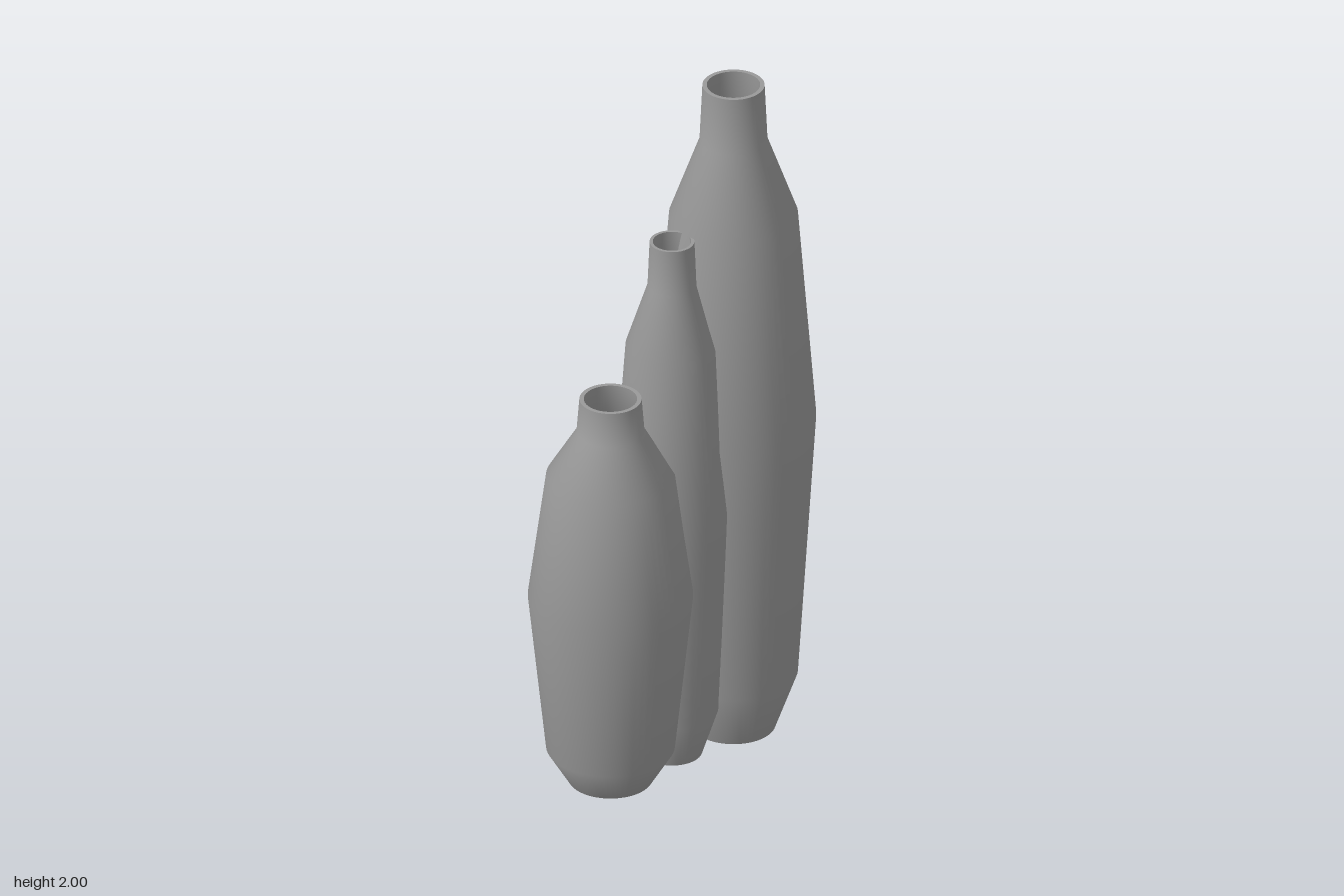
import * as THREE from 'three';
import { mergeGeometries } from 'three/addons/utils/BufferGeometryUtils.js';

const WALL = 0.012;

// Outer outline of the tallest bottle as [radius, height]
const OUTLINE = [
  [0.115, 0], [0.176, 0.17], [0.226, 0.97], [0.176, 1.6], [0.093, 1.83], [0.085, 2],
];

const lathe = (points) =>
  new THREE.LatheGeometry(points.map(([r, y]) => new THREE.Vector2(r, y)), 64);

// Hollow bottle: separate lathes keep the base and rim edges sharp
function bottleGeometry() {
  const inner = OUTLINE.map(([r, y], i) => [r - WALL, i === 0 ? WALL : y]).reverse();
  return mergeGeometries([
    lathe([[0, 0], OUTLINE[0]]), // underside
    lathe(OUTLINE), // outer wall
    lathe([OUTLINE[OUTLINE.length - 1], inner[0]]), // rim
    lathe(inner), // inner wall
    lathe([inner[inner.length - 1], [0, WALL]]), // inner floor
  ]);
}

export function createModel() {
  const group = new THREE.Group();
  group.name = 'bottleVases';
  const ceramic = new THREE.MeshStandardMaterial({ color: 0x999999 });
  ceramic.name = 'grey ceramic';
  const geometry = bottleGeometry();

  // name, x, width scale, height
  const bottles = [
    ['shortBottle', -0.226, 1, 1.187],
    ['middleBottle', 0, 0.72, 1.595],
    ['tallBottle', 0.226, 1, 2],
  ];
  for (const [name, x, width, height] of bottles) {
    const bottle = new THREE.Mesh(geometry, ceramic);
    bottle.name = name;
    bottle.position.x = x;
    bottle.scale.set(width, height / 2, width);
    group.add(bottle);
  }
  return group;
}
